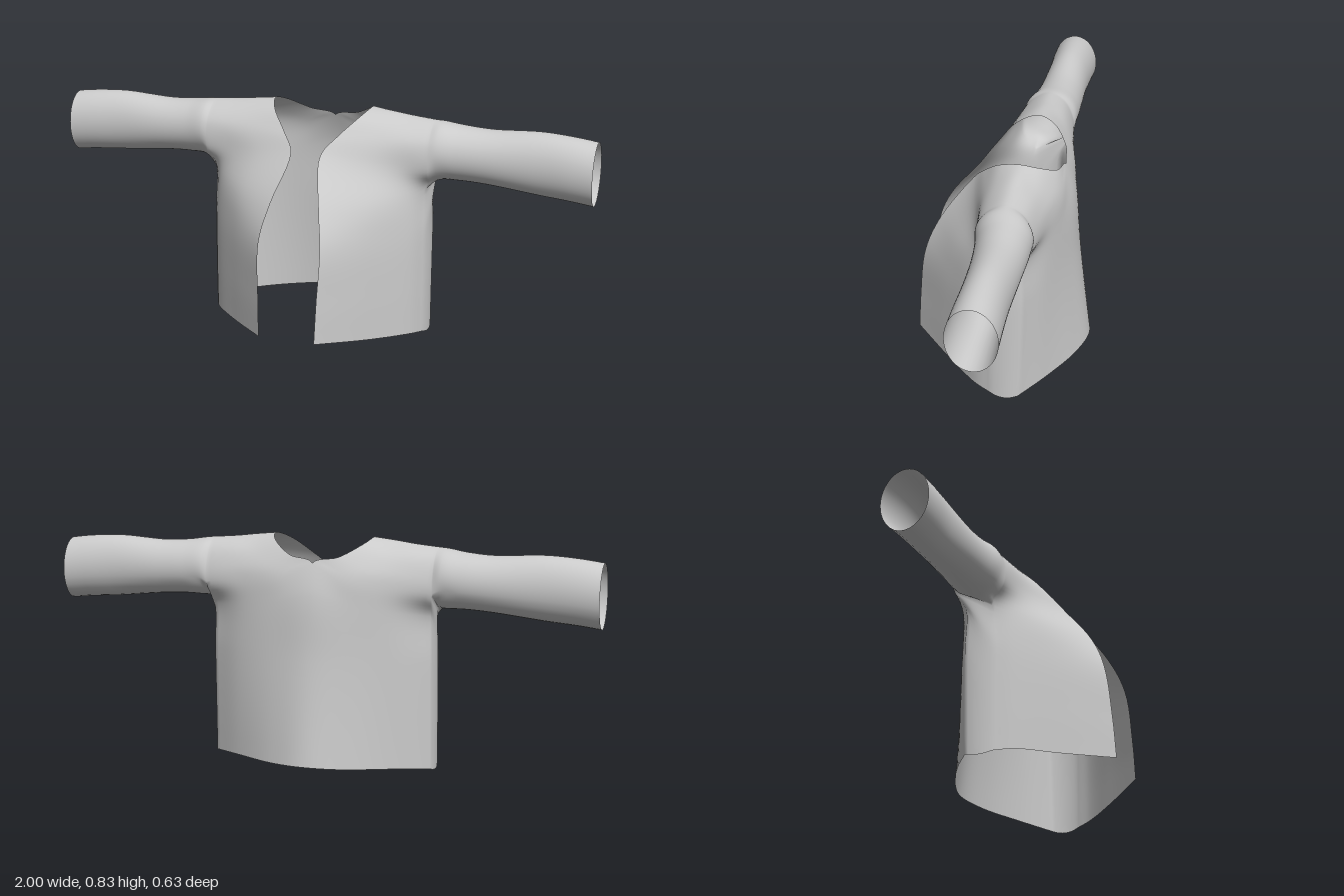
import * as THREE from 'three';
import { mergeGeometries, mergeVertices } from 'three/addons/utils/BufferGeometryUtils.js';

const V = (x, y, z) => new THREE.Vector3(x, y, z);

// Each row runs from the opening (or back centre) out to the side seam: 4 points x, y, z.
const FRONT = [
  [.105, .05, .315, .26, .03, .165, .375, .02, .045, .41, .01, -.02],
  [.11, .2, .305, .26, .2, .165, .375, .2, .045, .41, .2, -.02],
  [.115, .4, .28, .26, .4, .155, .372, .4, .042, .408, .4, -.02],
  [.09, .53, .225, .25, .53, .13, .36, .54, .035, .408, .56, -.03],
  [.055, .685, .11, .2, .66, .08, .33, .645, .04, .42, .635, .022],
  [.1, .745, .06, .23, .745, .035, .34, .735, .024, .42, .73, .016],
  [.16, .805, -.005, .25, .795, -.015, .34, .785, -.02, .42, .78, -.025],
];
const BACK = [
  [.185, .828, -.08, .26, .82, -.08, .34, .81, -.08, .42, .803, -.08],
  [.165, .81, -.14, .25, .79, -.14, .34, .78, -.14, .42, .775, -.135],
  [.09, .767, -.195, .2, .74, -.19, .32, .72, -.178, .42, .71, -.168],
  [0, .745, -.212, .13, .69, -.222, .29, .66, -.195, .42, .64, -.172],
  [0, .63, -.247, .13, .6, -.233, .28, .58, -.195, .408, .565, -.13],
  [0, .4, -.267, .13, .4, -.247, .29, .4, -.195, .408, .4, -.13],
  [0, .03, -.315, .13, .025, -.282, .29, .02, -.2, .41, .01, -.12],
];
const ROWS = [...FRONT, ...BACK];
const LAST = ROWS.length - 1, RIDGE = 7, ARM_F = 3, ARM_B = 10;
const STEP = 6; // subdivisions between rows

// Lengthwise curves, from the front hem over the shoulder to the back hem
const lengthwise = [0, 3, 6, 9].map(k =>
  new THREE.CatmullRomCurve3(ROWS.map(r => V(r[k], r[k + 1], r[k + 2]))));

// Curve across the cloth at a row; the back continues smoothly over the centre line
function across(row) {
  const p = lengthwise.map(c => c.getPoint(row / LAST));
  p[0].x = Math.max(0, p[0].x);
  const centred = p[0].x < 1e-6;
  if (centred) p.unshift(V(-p[1].x, p[1].y, p[1].z));
  const curve = new THREE.CatmullRomCurve3(p);
  return u => curve.getPoint(centred ? (1 + 3 * u) / 4 : u);
}
const seam = row => lengthwise[3].getPoint(row / LAST);

// Indexed sheet from rows of points
function sheet(rows) {
  const n = rows[0].length, index = [];
  for (let j = 0; j < rows.length - 1; j++)
    for (let i = 0; i < n - 1; i++) {
      const a = j * n + i, d = a + n;
      index.push(a, a + 1, d + 1, a, d + 1, d);
    }
  const g = new THREE.BufferGeometry().setFromPoints(rows.flat());
  g.setIndex(index);
  return g;
}

const range = (from, to, n) => Array.from({ length: n + 1 }, (_, i) => from + (to - from) * i / n);

// Front or back panel with the shoulder
const panel = (from, to) => sheet(range(from, to, (to - from) * STEP).map(row => {
  const c = across(row);
  return range(0, 1, 22).map(c);
}));

// Under-arm strip between the side seams
function sideRow(k) {
  const a = seam(k), b = seam(LAST - k);
  return range(0, 1, 8).map(u => {
    const p = a.clone().lerp(b, u), bulge = 4 * u * (1 - u);
    p.x += .008 * bulge;
    p.y -= .01 * bulge * (1 - k / ARM_F);
    return p;
  });
}
const side = () => sheet(range(0, ARM_F, ARM_F * STEP).map(sideRow));

// Sleeve rings: x, top, bottom, front, back
const RINGS = [
  [.45, .8, .588, .022, -.178],
  [.52, .79, .59, .008, -.178],
  [.62, .784, .585, -.002, -.174],
  [.8, .793, .566, -.008, -.168],
  [.92, .786, .556, -.003, -.17],
  [1, .776, .547, 0, -.172],
];
function sleeve() {
  const root = [...sideRow(ARM_F),
    ...range(ARM_B, ARM_F, (ARM_B - ARM_F) * STEP).slice(1).map(seam)];
  const lines = root.map(p => {
    const a = Math.atan2((p.y - .685) / .12, (p.z + .075) / .1);
    return new THREE.CatmullRomCurve3([p, ...RINGS.map(([x, top, bottom, front, back]) => V(x,
      (top + bottom) / 2 + Math.sin(a) * (top - bottom) / 2,
      (front + back) / 2 + Math.cos(a) * (front - back) / 2))]);
  });
  return sheet(range(0, 1, 36).map(t => lines.map(l => l.getPoint(t))));
}

function mirrored(geometry) {
  const g = geometry.clone().scale(-1, 1, 1), a = g.index.array;
  for (let i = 0; i < a.length; i += 3) [a[i], a[i + 1]] = [a[i + 1], a[i]];
  return g;
}

export function createModel() {
  const group = new THREE.Group();
  group.name = 'openJacket';
  const material = new THREE.MeshStandardMaterial({ color: 0xcccccc, side: THREE.DoubleSide });

  const half = { Front: panel(0, RIDGE), Back: panel(RIDGE, LAST), Side: side(), Sleeve: sleeve() };
  const parts = [];
  for (const [name, g] of Object.entries(half))
    parts.push(['left' + name, g], ['right' + name, mirrored(g)]);

  // Shared normals keep the cloth smooth across the seams
  const whole = mergeVertices(mergeGeometries(parts.map(p => p[1])), 1e-4);
  whole.computeVertexNormals();

  let start = 0;
  for (const [name, g] of parts) {
    const piece = new THREE.BufferGeometry();
    piece.setAttribute('position', whole.attributes.position);
    piece.setAttribute('normal', whole.attributes.normal);
    piece.setIndex(Array.from(whole.index.array.slice(start, start + g.index.count)));
    start += g.index.count;
    const mesh = new THREE.Mesh(piece.toNonIndexed(), material);
    mesh.name = name;
    group.add(mesh);
  }
  return group;
}
